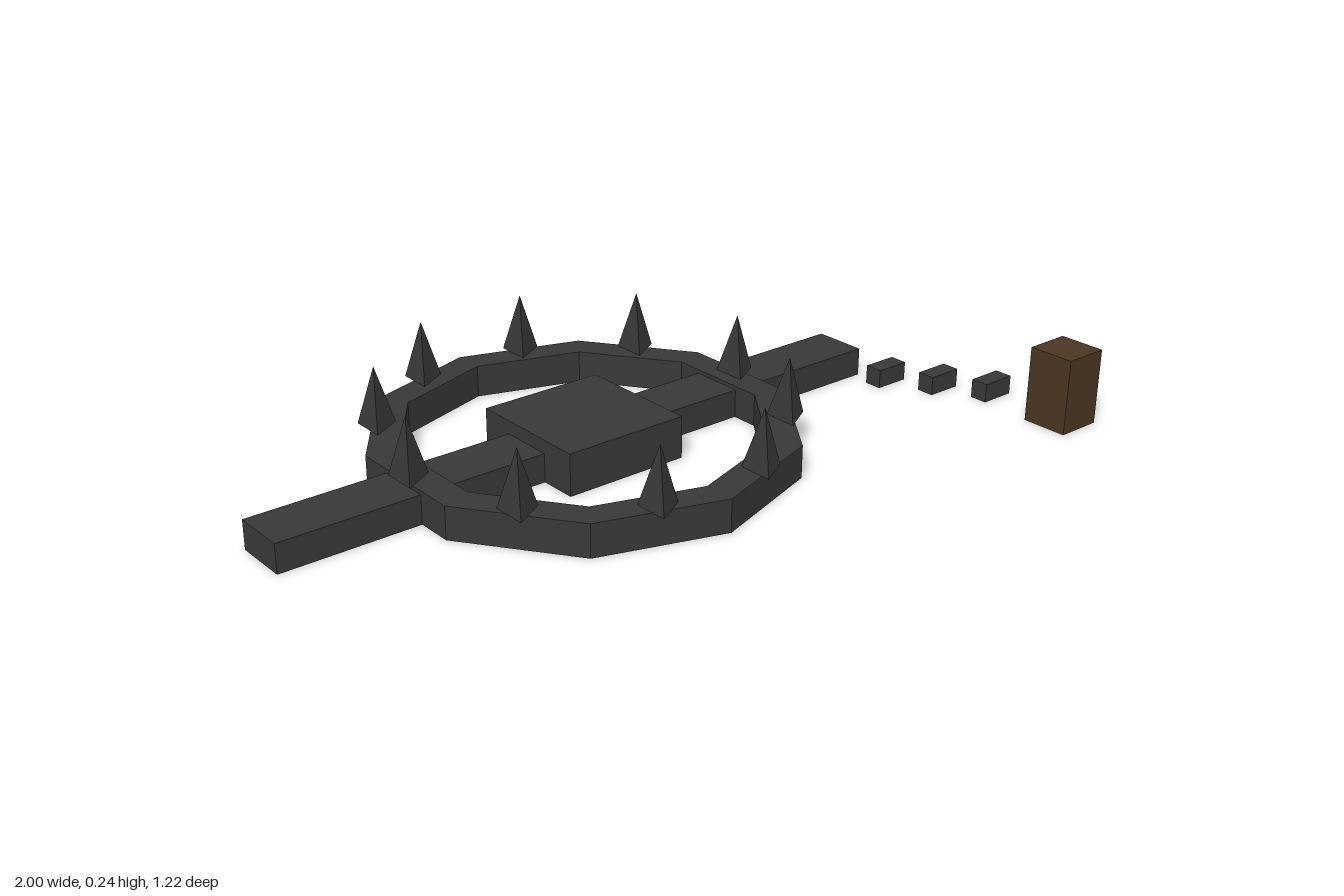
import * as THREE from 'three';

const iron = new THREE.MeshStandardMaterial({ color: 0x383838, side: THREE.DoubleSide });
iron.name = 'dark iron';
const wood = new THREE.MeshStandardMaterial({ color: 0x4a3623, side: THREE.DoubleSide });
wood.name = 'brown wood';

const CX = -0.12, CZ = -0.07; // centre of the trap

// Faceted normals for low-poly parts
function faceted(geometry) {
  const g = geometry.toNonIndexed();
  g.computeVertexNormals();
  return g;
}

// Box standing on the ground, hollow underneath
function shell(name, material, x0, x1, z0, z1, height) {
  const g = new THREE.BoxGeometry(x1 - x0, height, z1 - z0);
  const index = Array.from(g.index.array);
  index.splice(18, 6); // drop the underside
  g.setIndex(index);
  g.clearGroups();
  const mesh = new THREE.Mesh(g, material);
  mesh.name = name;
  mesh.position.set((x0 + x1) / 2, height / 2, (z0 + z1) / 2);
  return mesh;
}

export function createModel() {
  const model = new THREE.Group();
  model.name = 'spikedTrap';

  // Long base bar and square trigger plate
  model.add(shell('baseBar', iron, -1, 0.765, -0.145, 0, 0.075));
  model.add(shell('triggerPlate', iron, CX - 0.17, CX + 0.17, CZ - 0.17, CZ + 0.17, 0.11));

  // Ten-sided jaw ring
  const profile = [[0.54, 0], [0.54, 0.085], [0.457, 0.085], [0.457, 0]]
    .map(([r, y]) => new THREE.Vector2(r, y));
  const ring = new THREE.Mesh(faceted(new THREE.LatheGeometry(profile, 10)), iron);
  ring.name = 'jawRing';
  ring.position.set(CX, 0, CZ);
  model.add(ring);

  // Three-sided teeth around the ring, all turned the same way
  const teeth = new THREE.Group();
  teeth.name = 'teeth';
  const toothGeometry = faceted(
    new THREE.ConeGeometry(0.053, 0.157, 3, 1, true).rotateY(Math.PI / 2));
  for (let i = 0; i < 10; i++) {
    const a = (i / 10) * Math.PI * 2;
    const tooth = new THREE.Mesh(toothGeometry, iron);
    tooth.name = 'tooth';
    tooth.position.set(CX + 0.5 * Math.cos(a), 0.085 + 0.157 / 2, CZ + 0.5 * Math.sin(a));
    teeth.add(tooth);
  }
  model.add(teeth);

  // Chain links leading to the anchor stake
  for (let i = 0; i < 3; i++) {
    const x = 0.788 + i * 0.0725, z = 0.079 + i * 0.121;
    model.add(shell('chainLink', iron, x - 0.048, x + 0.048, z - 0.024, z + 0.024, 0.05));
  }
  model.add(shell('anchorStake', wood, 0.877, 1, 0.483, 0.606, 0.2));

  return model;
}
